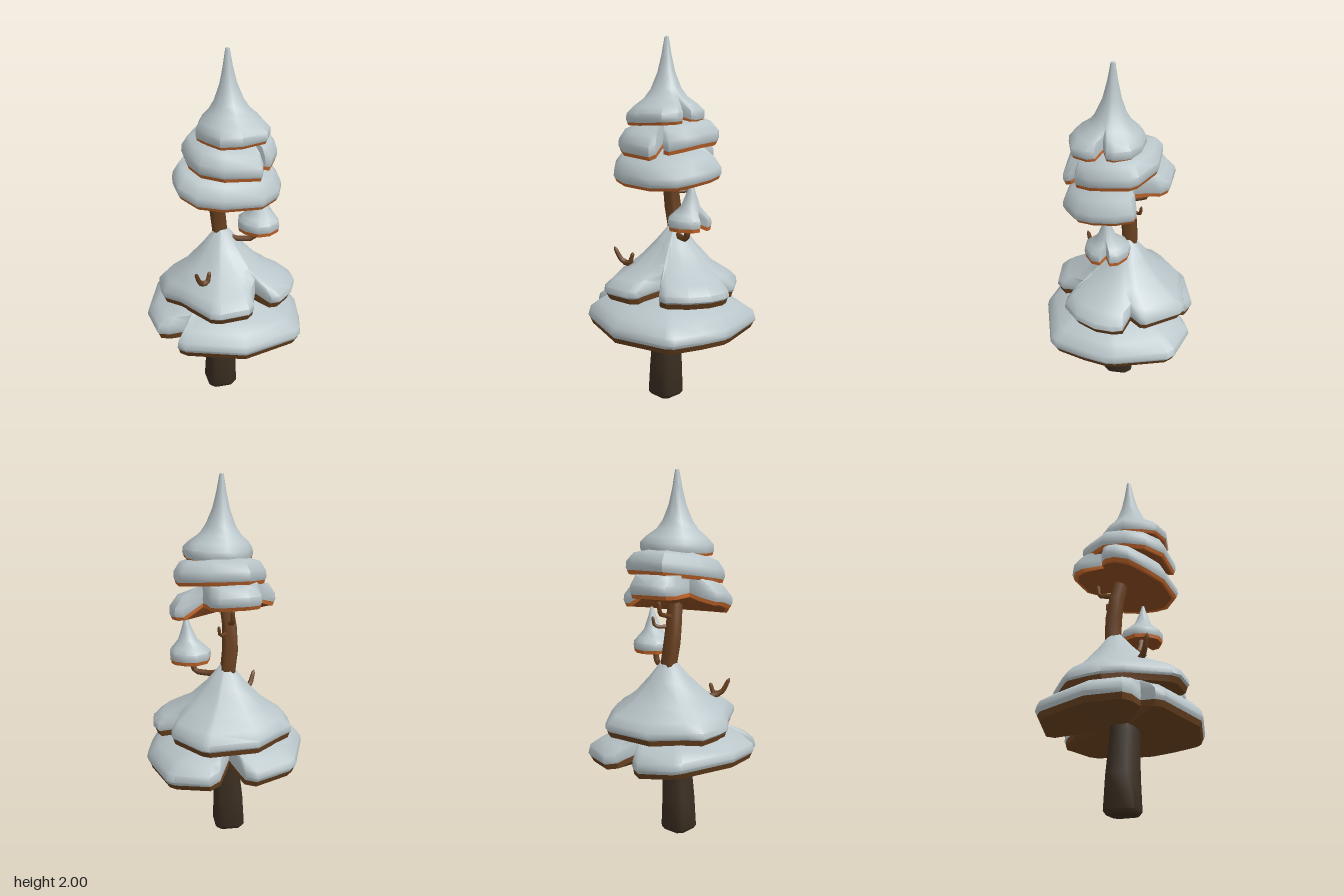
import * as THREE from 'three';
import { toCreasedNormals } from 'three/addons/utils/BufferGeometryUtils.js';

const material = (name, color) => {
  const m = new THREE.MeshStandardMaterial({ color });
  m.name = name;
  return m;
};

// Skin a stack of closed loops (clockwise seen from above), listed bottom to top
function skin(rings, crease = 0.8) {
  const n = rings[0].length, index = [];
  for (let j = 0; j < rings.length - 1; j++) {
    for (let i = 0; i < n; i++) {
      const a = j * n + i, b = j * n + (i + 1) % n;
      index.push(a, a + n, b + n, a, b + n, b);
    }
  }
  const geo = new THREE.BufferGeometry();
  geo.setAttribute('position', new THREE.Float32BufferAttribute(rings.flat(2), 3));
  geo.setIndex(index);
  return toCreasedNormals(geo, crease);
}

function addMesh(parent, name, geo, mat) {
  const mesh = new THREE.Mesh(geo, mat);
  mesh.name = name;
  parent.add(mesh);
}

// One snowy layer: a lobed outline of [x, z, lift], scaled inward and raised along a profile
function tier(name, o, snowMat, rimMat, underMat) {
  const [cx, cz] = o.centre, [tx, tz] = o.tilt, [ax, az] = o.apex ?? o.centre;
  const radii = o.outline.map(([x, z]) => Math.hypot(x - cx, z - cz));
  const mean = radii.reduce((a, b) => a + b) / radii.length;
  const ring = ([s, dy]) => o.outline.map(([x, z, up = 0], i) => {
    // inner loops become rounder, so notches fade out; notches sit higher than lobes
    const k = Math.min(1, s * THREE.MathUtils.lerp(mean / radii[i], 1, Math.min(1, s ** 3 * 1.08)));
    const dx = (x - cx) * k, dz = (z - cz) * k;
    const lift = (Math.max(0, mean - radii[i]) * 0.35 + up) * s;
    return [cx + (ax - cx) * (1 - s) + dx, o.y + dy + lift + tx * dx + tz * dz,
      cz + (az - cz) * (1 - s) + dz];
  });
  const group = new THREE.Group();
  group.name = name;
  const top = o.profile[o.profile.length - 1][1];
  addMesh(group, 'snow', skin([[0.975, o.rim], ...o.profile, [0, top + 0.004]].map(ring)), snowMat);
  addMesh(group, 'needleRim', skin([[0.9, 0.002], [0.95, 0], [0.975, o.rim]].map(ring), 0.5), rimMat);
  addMesh(group, 'underside', skin([[0, 0.03], [0.9, 0.002]].map(ring)), underMat);
  return group;
}

// Tapered twig with a closed tip
function twig(points, r0, r1) {
  const curve = new THREE.CatmullRomCurve3(points.map(p => new THREE.Vector3(...p)), false, 'catmullrom', 0.2);
  const seg = 12, sides = 6;
  const geo = new THREE.TubeGeometry(curve, seg, 1, sides, false);
  const pos = geo.attributes.position, v = new THREE.Vector3();
  for (let i = 0; i < pos.count; i++) {
    const j = Math.floor(i / (sides + 1));
    const c = curve.getPointAt(j / seg);
    const r = j === seg ? 0.001 : THREE.MathUtils.lerp(r0, r1, j / seg);
    v.fromBufferAttribute(pos, i).sub(c).multiplyScalar(r).add(c);
    pos.setXYZ(i, v.x, v.y, v.z);
  }
  geo.computeVertexNormals();
  return geo;
}

// Trunk piece from level loops [x, y, z, half width], square with cut corners
function trunk(levels) {
  const corners = [[1, -0.66], [1, 0.66], [0.66, 1], [-0.66, 1], [-1, 0.66], [-1, -0.66], [-0.66, -1], [0.66, -1]];
  return skin(levels.map(([x, y, z, r]) => corners.map(([u, w]) => [x + u * r, y, z + w * r])), 0.9);
}

export function createModel() {
  const snow = material('snow', 0xb9c5c9);
  const darkBark = material('dark bark', 0x3a2e21);
  const bark = material('brown bark', 0x69401f);
  const lowRim = material('brown needles', 0x68411f);
  const highRim = material('orange needles', 0xc2662a);
  const highUnder = material('russet needles', 0x8a4a20);

  const tree = new THREE.Group();
  tree.name = 'snowyTree';

  // Trunk
  addMesh(tree, 'lowerTrunk', trunk([
    [-0.023, 0, 0, 0], [-0.023, 0, 0, 0.07], [-0.023, 0.02, 0, 0.083], [-0.02, 0.2, 0, 0.076],
    [-0.003, 0.42, 0.004, 0.067], [0, 0.7, -0.03, 0.056]]), darkBark);
  addMesh(tree, 'upperTrunk', trunk([
    [0, 0.7, -0.03, 0.054], [-0.008, 0.97, -0.065, 0.038], [-0.022, 1.08, -0.056, 0.039],
    [-0.022, 1.2, -0.038, 0.036], [-0.005, 1.34, -0.01, 0.034], [0.01, 1.5, 0.02, 0.03]]), bark);

  // Snowy layers, bottom to top
  tree.add(tier('bottomLayer', {
    centre: [0, 0], tilt: [-0.035, 0], y: 0.423, rim: 0.03,
    outline: [[-0.3, -0.365, 0.015], [-0.11, -0.425], [-0.05, -0.4], [-0.03, -0.36], [0.015, -0.25], [0.085, -0.39],
      [0.145, -0.425], [0.325, -0.365], [0.36, -0.33], [0.435, -0.05], [0.44, 0], [0.41, 0.14],
      [0.36, 0.3], [0.325, 0.335], [0.015, 0.422, -0.01], [-0.3, 0.335], [-0.335, 0.3], [-0.245, 0.19],
      [-0.36, 0.19, 0.025], [-0.42, 0.165, 0.025], [-0.44, -0.03, 0.025], [-0.335, -0.33, 0.02]],
    profile: [[1, 0.05], [0.98, 0.085], [0.87, 0.13], [0.7, 0.165], [0.45, 0.21], [0.1, 0.3]],
  }, snow, lowRim, lowRim));
  tree.add(tier('middleLayer', {
    centre: [0, -0.03], apex: [0, -0.06], tilt: [0.02, 0.035], y: 0.602, rim: 0.03,
    outline: [[-0.13, -0.36], [0.14, -0.39], [0.18, -0.37], [0.31, -0.2], [0.315, -0.17], [0.28, -0.11],
      [0.38, -0.08], [0.4, -0.03], [0.395, 0.07], [0.34, 0.18], [0.25, 0.26], [0.2, 0.26],
      [0.13, 0.18], [0.09, 0.28], [0.085, 0.31], [0.05, 0.345], [-0.11, 0.355], [-0.16, 0.33],
      [-0.28, 0.12], [-0.35, 0.02], [-0.355, -0.05], [-0.345, -0.17], [-0.28, -0.23]],
    profile: [[1, 0.04], [0.99, 0.07], [0.88, 0.115], [0.6, 0.18], [0.32, 0.285], [0.1, 0.385], [0.05, 0.395]],
  }, snow, lowRim, lowRim));
  tree.add(tier('thirdLayer', {
    centre: [0, 0], tilt: [-0.03, -0.13], y: 1.255, rim: 0.018,
    outline: [[-0.17, -0.19, 0.05], [-0.15, -0.25, 0.05], [-0.085, -0.29, 0.05], [0.07, -0.28, 0.05],
      [0.11, -0.24, 0.05], [0.12, -0.2, 0.05], [0.13, -0.1, 0.03], [0.24, -0.13], [0.28, -0.12],
      [0.3, -0.03], [0.29, 0.09], [0.25, 0.18, -0.005], [0.14, 0.27], [-0.07, 0.27], [-0.2, 0.22],
      [-0.28, 0.14, 0.025], [-0.29, 0.06, 0.04], [-0.28, 0, 0.04], [-0.22, -0.045, 0.04], [-0.15, -0.06, 0.04]],
    profile: [[1, 0.035], [0.99, 0.065], [0.87, 0.125], [0.6, 0.155], [0.2, 0.2]],
  }, snow, highRim, highUnder));
  tree.add(tier('fourthLayer', {
    centre: [0.02, 0.03], tilt: [0, -0.15], y: 1.42, rim: 0.02,
    outline: [[-0.1, -0.22], [0.1, -0.22], [0.24, -0.14], [0.265, -0.1], [0.27, 0.02, 0.01], [0.255, 0.11, 0.01],
      [0.2, 0.19], [0.165, 0.195], [0.11, 0.135], [0.145, 0.23, -0.01], [0.13, 0.265, -0.015],
      [-0.07, 0.27], [-0.18, 0.2], [-0.22, 0.09], [-0.22, -0.04]],
    profile: [[1, 0.035], [0.99, 0.07], [0.87, 0.12], [0.6, 0.145], [0.2, 0.17]],
  }, snow, highRim, highUnder));
  tree.add(tier('topLayer', {
    centre: [0.02, 0.05], apex: [0.01, 0.022], tilt: [0.03, -0.03], y: 1.55, rim: 0.015,
    outline: [[0, -0.145], [0.1, -0.135], [0.18, -0.09], [0.21, -0.01], [0.2, 0.03], [0.135, 0.055],
      [0.2, 0.09], [0.21, 0.13], [0.17, 0.21], [0.03, 0.25], [-0.08, 0.23], [-0.13, 0.15],
      [-0.165, 0.06], [-0.12, -0.06], [-0.07, -0.12]],
    profile: [[1, 0.03], [0.99, 0.06], [0.85, 0.095], [0.6, 0.135], [0.43, 0.18], [0.25, 0.265],
      [0.14, 0.355], [0.06, 0.446]],
  }, snow, highRim, highUnder));

  // Little side tree on its own branch
  tree.add(tier('littleTree', {
    centre: [0.185, 0.03], apex: [0.208, 0.03], tilt: [0, 0], y: 1.0, rim: 0.02,
    outline: [[0.16, -0.09], [0.22, -0.085], [0.28, -0.045], [0.295, 0.0], [0.25, 0.025], [0.295, 0.055],
      [0.285, 0.1], [0.22, 0.145], [0.15, 0.145], [0.09, 0.09], [0.07, 0.03], [0.095, -0.05]],
    profile: [[1, 0.035], [0.98, 0.06], [0.78, 0.085], [0.45, 0.125], [0.2, 0.2], [0.07, 0.25]],
  }, snow, highRim, highUnder));

  // Twigs
  const twigs = [
    ['littleTreeBranch', [[0, 0.95, -0.05], [0.08, 0.935, -0.01], [0.155, 0.94, 0.02], [0.17, 0.97, 0.025], [0.18, 1.04, 0.03]], 0.018, 0.016],
    ['forkBranch', [[-0.1, 0.75, 0.11], [-0.16, 0.778, 0.17], [-0.185, 0.8, 0.19], [-0.21, 0.87, 0.215]], 0.021, 0.01],
    ['forkTip', [[-0.17, 0.78, 0.18], [-0.135, 0.785, 0.165], [-0.12, 0.84, 0.155]], 0.016, 0.01],
    ['backBranch', [[-0.02, 1.22, -0.04], [-0.02, 1.235, -0.1], [-0.02, 1.25, -0.148], [-0.02, 1.32, -0.157]], 0.015, 0.011],
    ['backBranchTip', [[-0.01, 1.17, -0.05], [0.03, 1.172, -0.11], [0.045, 1.185, -0.125], [0.05, 1.23, -0.13]], 0.011, 0.008],
  ];
  for (const [name, points, r0, r1] of twigs) addMesh(tree, name, twig(points, r0, r1), bark);
  return tree;
}
